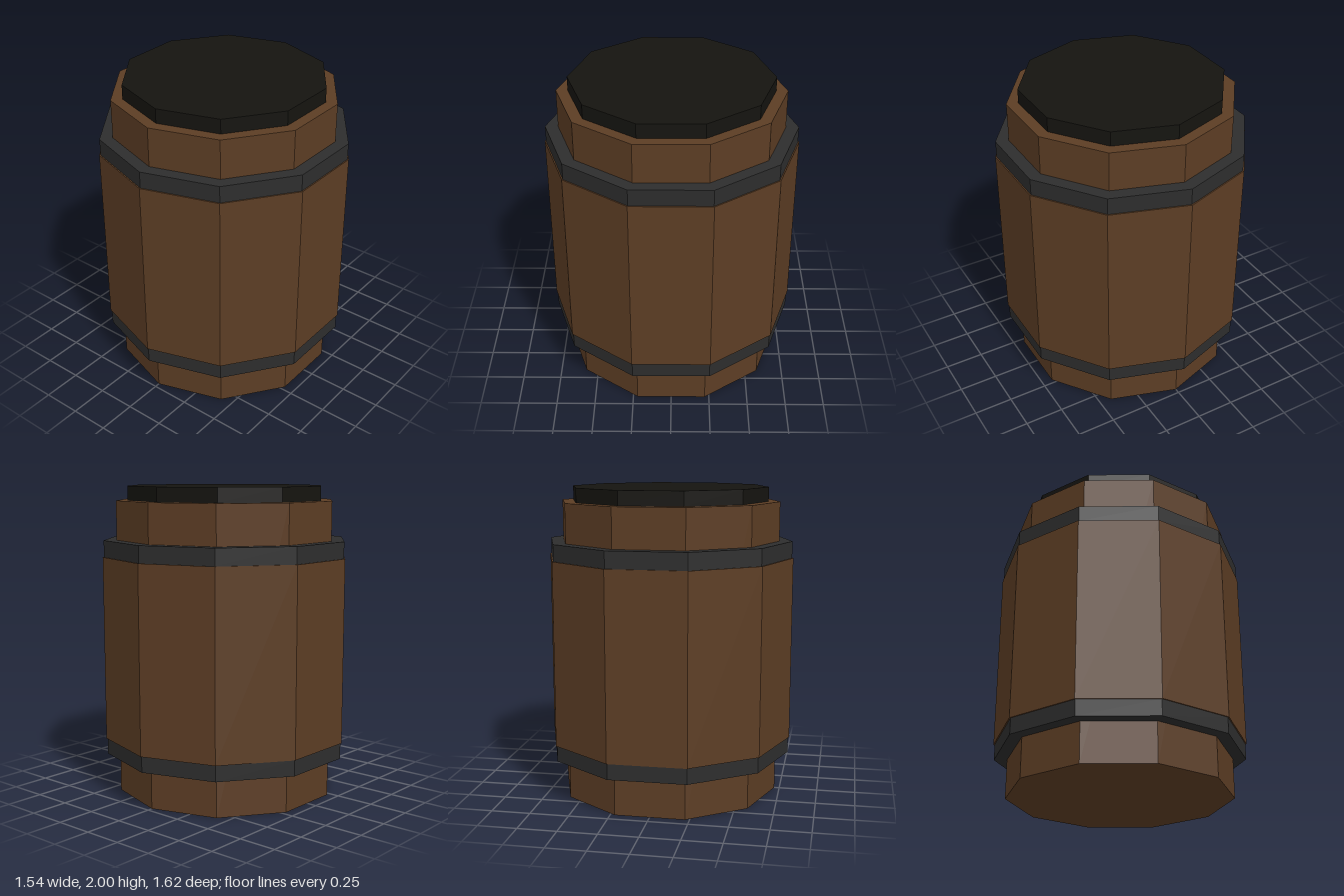
import * as THREE from 'three';

const SIDES = 10;

export function createModel() {
  const barrel = new THREE.Group();
  barrel.name = 'barrel';

  const material = (color) => new THREE.MeshStandardMaterial({ color, flatShading: true });
  const wood = material(0x5c3d24);
  const iron = material(0x2d2d2d);
  const dark = material(0x151410);

  // Ten-sided drum between two heights, with a corner facing front and back
  const addDrum = (name, radius, bottom, top, mat) => {
    const geometry = new THREE.CylinderGeometry(radius, radius, top - bottom, SIDES);
    const mesh = new THREE.Mesh(geometry, mat);
    mesh.name = name;
    mesh.position.y = (bottom + top) / 2;
    barrel.add(mesh);
  };

  // Wooden core and the wider staves around its middle
  addDrum('core', 0.717, 0, 1.908, wood);
  addDrum('staves', 0.808, 0.358, 1.55, wood);

  // Iron hoops above and below the staves
  addDrum('lowerHoop', 0.8, 0.255, 0.358, iron);
  addDrum('upperHoop', 0.8, 1.55, 1.657, iron);

  // Lid
  addDrum('lid', 0.643, 1.908, 2, dark);

  return barrel;
}
